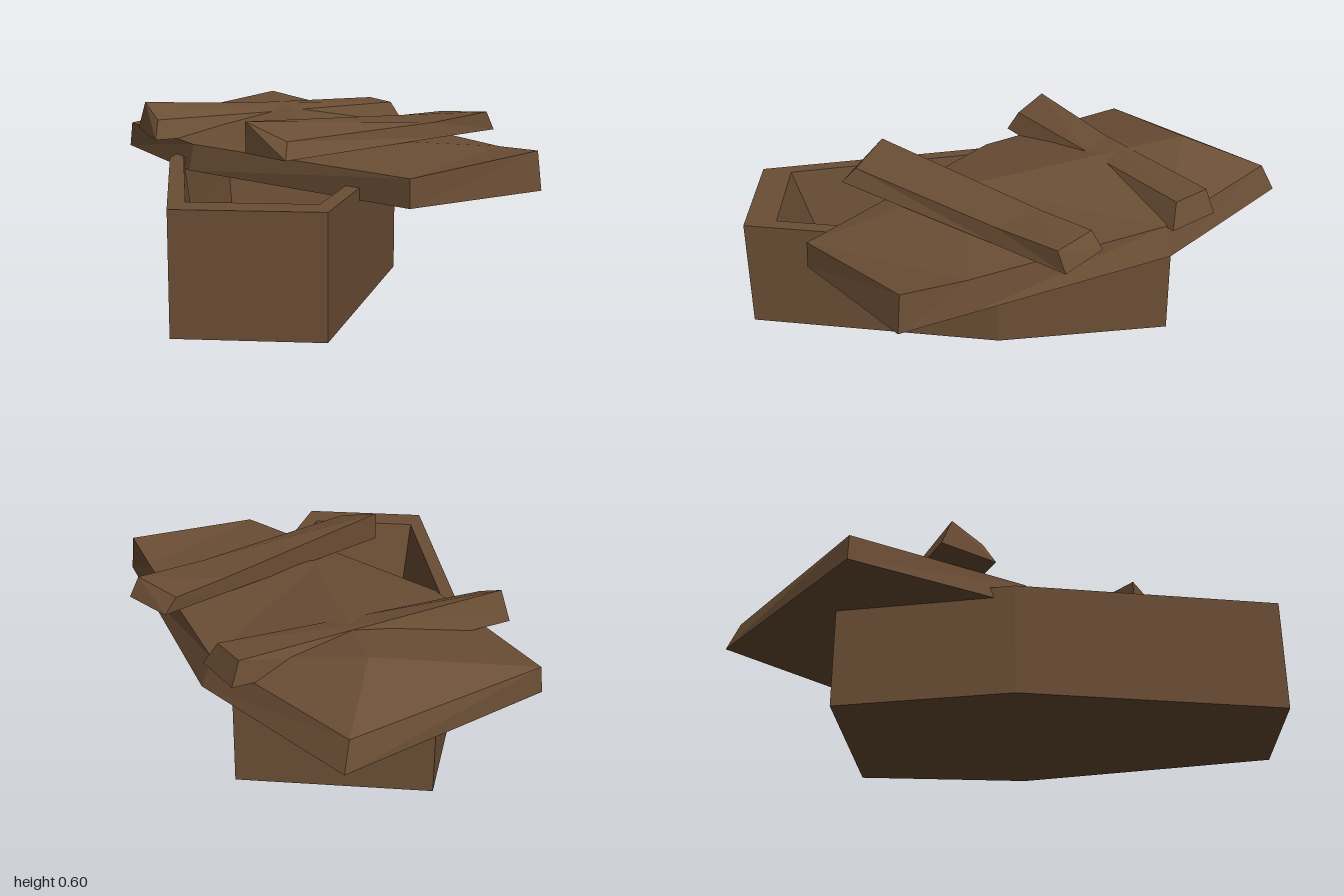
import * as THREE from 'three';

const wood = new THREE.MeshStandardMaterial({ color: 0x6b4e35 });

// Flat-shaded mesh from a list of polygons, each a fan of corner points
function polyMesh(name, polygons) {
  const pos = [];
  for (const p of polygons) {
    for (let i = 1; i < p.length - 1; i++) pos.push(...p[0], ...p[i], ...p[i + 1]);
  }
  const geo = new THREE.BufferGeometry();
  geo.setAttribute('position', new THREE.Float32BufferAttribute(pos, 3));
  geo.computeVertexNormals();
  const mesh = new THREE.Mesh(geo, wood);
  mesh.name = name;
  return mesh;
}

// Walls joining successive rings, closed at the start and optionally at the end
function loft(rings, closeEnd = true) {
  const faces = [[...rings[0]].reverse()];
  for (let i = 0; i < rings.length - 1; i++) {
    const a = rings[i], b = rings[i + 1], n = a.length;
    for (let j = 0; j < n; j++) {
      const k = (j + 1) % n;
      faces.push([a[j], a[k], b[k], b[j]]);
    }
  }
  if (closeEnd) faces.push(rings[rings.length - 1]);
  return faces;
}

// Symmetrical six-sided outline: half widths and z at foot, shoulder and head
function hexRing(y, foot, zFoot, shoulder, zShoulder, head, zHead) {
  const cx = -0.117;
  return [
    [cx - foot, y, zFoot], [cx + foot, y, zFoot],
    [cx + shoulder, y, zShoulder], [cx + head, y, zHead],
    [cx - head, y, zHead], [cx - shoulder, y, zShoulder],
  ];
}

export function createModel() {
  const model = new THREE.Group();
  model.name = 'brokenCoffin';

  // Hollow box: outer bottom, outer rim, inner rim, floor
  model.add(polyMesh('coffinBox', loft([
    hexRing(0, 0.24, 1, 0.418, 0.085, 0.345, -0.54),
    hexRing(0.4, 0.24, 1, 0.418, 0.085, 0.345, -0.54),
    hexRing(0.4, 0.206, 0.886, 0.365, 0.09, 0.29, -0.45),
    hexRing(0.08, 0.174, 0.775, 0.325, 0.095, 0.255, -0.37),
  ])));

  // Lid lying askew, with a warped top
  const lidBottom = [
    [0.36, 0.36, 0.745], [0.8, 0.36, 0.41], [0.685, 0.36, 0.18], [0.335, 0.36, -0.52],
    [-0.19, 0.36, -1], [-0.81, 0.36, -0.44], [-0.454, 0.36, 0.13],
  ];
  const lidTop = [
    [0.36, 0.455, 0.74], [0.785, 0.495, 0.4], [0.67, 0.475, 0.19], [0.3, 0.46, -0.5],
    [-0.2, 0.455, -0.95], [-0.8, 0.455, -0.44], [-0.44, 0.455, 0.115],
  ];
  const peaks = [...lidTop, [-0.235, 0.57, -0.64], [0.025, 0.5, 0.2]];
  const topFaces = [
    [0, 1, 2], [0, 2, 8], [2, 3, 8], [3, 7, 8], [3, 4, 7],
    [4, 5, 7], [5, 6, 7], [6, 8, 7], [6, 0, 8],
  ].map((f) => f.map((i) => peaks[i]));
  model.add(polyMesh('lid', [...loft([lidBottom, lidTop], false), ...topFaces]));

  // Cross planks: sections run back bottom, back top, front top, front bottom
  model.add(polyMesh('headPlank', loft([
    [[-0.705, 0.475, -0.15], [-0.67, 0.58, -0.12], [-0.6, 0.525, -0.02], [-0.6, 0.455, 0.025]],
    [[-0.25, 0.46, -0.42], [-0.28, 0.555, -0.35], [-0.2, 0.53, -0.26], [-0.14, 0.455, -0.25]],
    [[0.2, 0.46, -0.69], [0.18, 0.545, -0.66], [0.27, 0.54, -0.54], [0.325, 0.455, -0.525]],
  ])));
  model.add(polyMesh('footPlank', loft([
    [[-0.19, 0.49, 0.51], [-0.19, 0.597, 0.51], [-0.04, 0.545, 0.6], [-0.04, 0.49, 0.655]],
    [[0.33, 0.49, -0.06], [0.33, 0.55, -0.06], [0.44, 0.545, 0.1], [0.46, 0.49, 0.1]],
    [[0.51, 0.49, -0.26], [0.475, 0.545, -0.225], [0.64, 0.56, -0.1], [0.67, 0.49, -0.125]],
  ])));

  return model;
}
